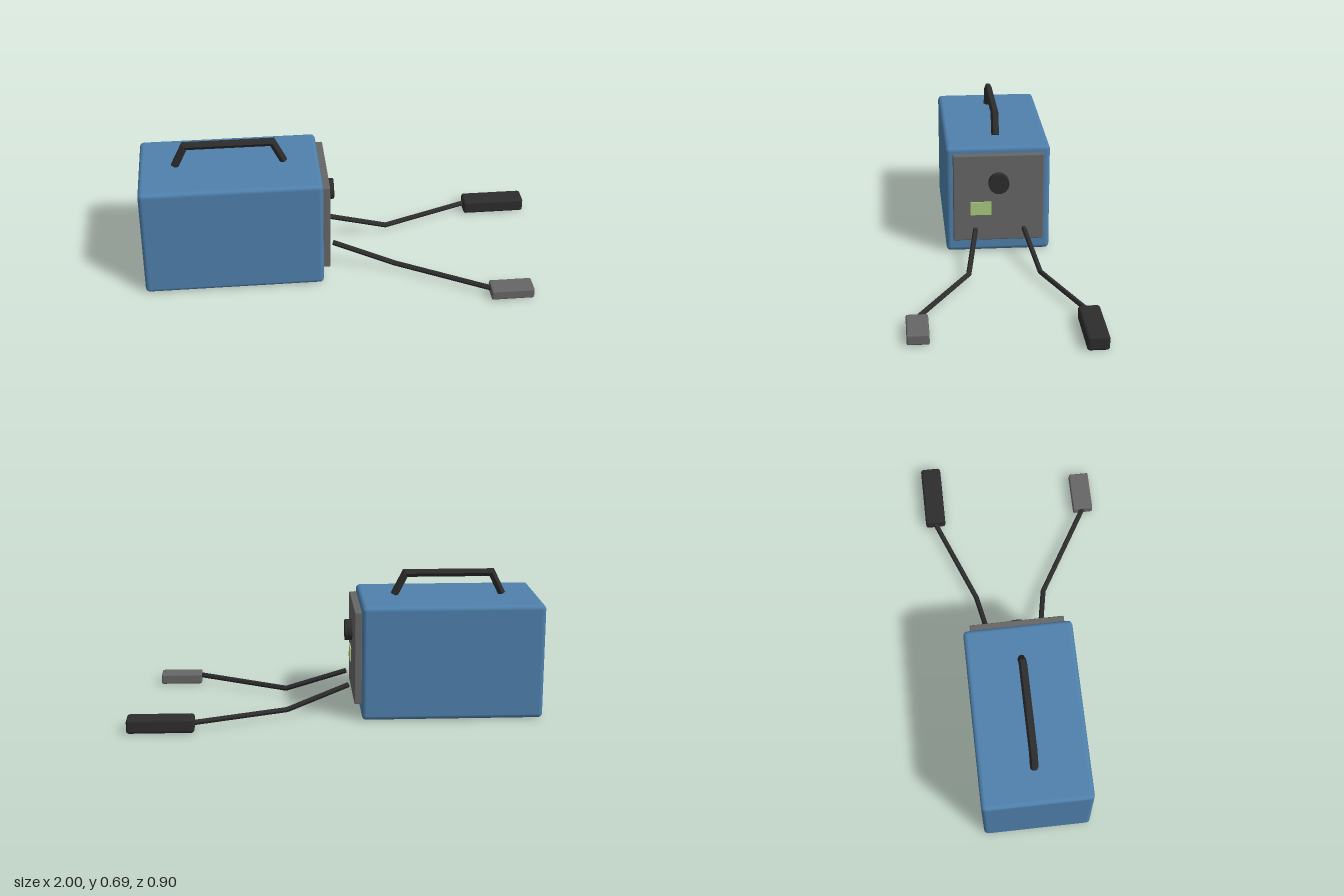
import * as THREE from 'three';
import { RoundedBoxGeometry } from 'three/addons/geometries/RoundedBoxGeometry.js';

const material = (name, color) => {
  const m = new THREE.MeshStandardMaterial({ color });
  m.name = name;
  return m;
};

// Hexagonal rod along a polyline: a ring slides along each segment to the next mitre plane.
function hexRod(points, radius, side) {
  const path = points.map((p) => new THREE.Vector3(...p));
  const dirs = path.slice(1).map((p, i) => p.clone().sub(path[i]).normalize());
  const a = side.clone().addScaledVector(dirs[0], -side.dot(dirs[0])).normalize();
  const b = dirs[0].clone().cross(a);
  const verts = [];
  let ring = [];
  for (let k = 0; k < 6; k++) {
    const t = (k * Math.PI) / 3;
    ring.push(path[0].clone().addScaledVector(a, radius * Math.cos(t)).addScaledVector(b, radius * Math.sin(t)));
  }
  const tri = (...ps) => ps.forEach((p) => verts.push(p.x, p.y, p.z));
  for (let k = 0; k < 6; k++) tri(path[0], ring[(k + 1) % 6], ring[k]);
  dirs.forEach((d, i) => {
    const normal = d.clone().add(dirs[i + 1] || d);
    const end = path[i + 1];
    const next = ring.map((p) => p.clone().addScaledVector(d, end.clone().sub(p).dot(normal) / d.dot(normal)));
    for (let k = 0; k < 6; k++) {
      const j = (k + 1) % 6;
      tri(ring[k], ring[j], next[j]);
      tri(ring[k], next[j], next[k]);
    }
    ring = next;
  });
  const last = path[path.length - 1];
  for (let k = 0; k < 6; k++) tri(last, ring[k], ring[(k + 1) % 6]);
  const g = new THREE.BufferGeometry();
  g.setAttribute('position', new THREE.Float32BufferAttribute(verts, 3));
  g.computeVertexNormals();
  return g;
}

export function createModel() {
  const model = new THREE.Group();
  model.name = 'batteryCharger';
  const blue = material('blue casing', 0x4f81ad);
  const grey = material('grey panel', 0x666666);
  const dark = material('dark rubber', 0x2d2d2d);
  const green = material('green screen', 0xa9cc7e);

  const add = (name, geometry, mat) => {
    const mesh = new THREE.Mesh(geometry, mat);
    mesh.name = name;
    model.add(mesh);
    return mesh;
  };
  // Box given by its minimum and maximum corners, with rounded edges.
  const block = (name, min, max, radius, mat) => {
    const s = max.map((v, i) => v - min[i]);
    const g = radius ? new RoundedBoxGeometry(...s, 2, radius) : new THREE.BoxGeometry(...s);
    add(name, g, mat).position.set(...max.map((v, i) => (v + min[i]) / 2));
  };
  const midZ = -0.043;

  // Casing and control panel
  block('casing', [-1, 0.002, -0.307], [-0.12, 0.565, 0.22], 0.022, blue);
  block('controlPanel', [-0.122, 0.075, -0.272], [-0.085, 0.532, 0.185], 0.005, grey);
  block('screen', [-0.087, 0.215, -0.008], [-0.079, 0.285, 0.1], 0, green);
  const knob = add('knob', new THREE.CylinderGeometry(0.052, 0.052, 0.037, 24), dark);
  knob.rotation.z = -Math.PI / 2;
  knob.position.set(-0.068, 0.39, midZ);

  // Carrying handle
  add('handle', hexRod([
    [-0.825, 0.567, midZ], [-0.773, 0.673, midZ], [-0.347, 0.673, midZ], [-0.293, 0.567, midZ],
  ], 0.02, new THREE.Vector3(0, 0, 1)), dark);

  // Cables and clamps
  const cables = [
    ['left', [0.075, 0.13, 0.396]],
    ['right', [-0.17, -0.222, -0.4]],
  ];
  for (const [label, [z0, z1, z2]] of cables) {
    add(label + 'Cable', hexRod([
      [-0.063, 0.145, z0], [0.24, 0.038, z1], [0.69, 0.038, z2],
    ], 0.013, new THREE.Vector3(0, 0, 1)), dark);
  }
  block('greyClamp', [0.68, 0.003, 0.345], [0.89, 0.054, 0.448], 0.008, grey);
  block('darkClamp', [0.68, 0, -0.448], [1, 0.071, -0.345], 0.014, dark);

  return model;
}
